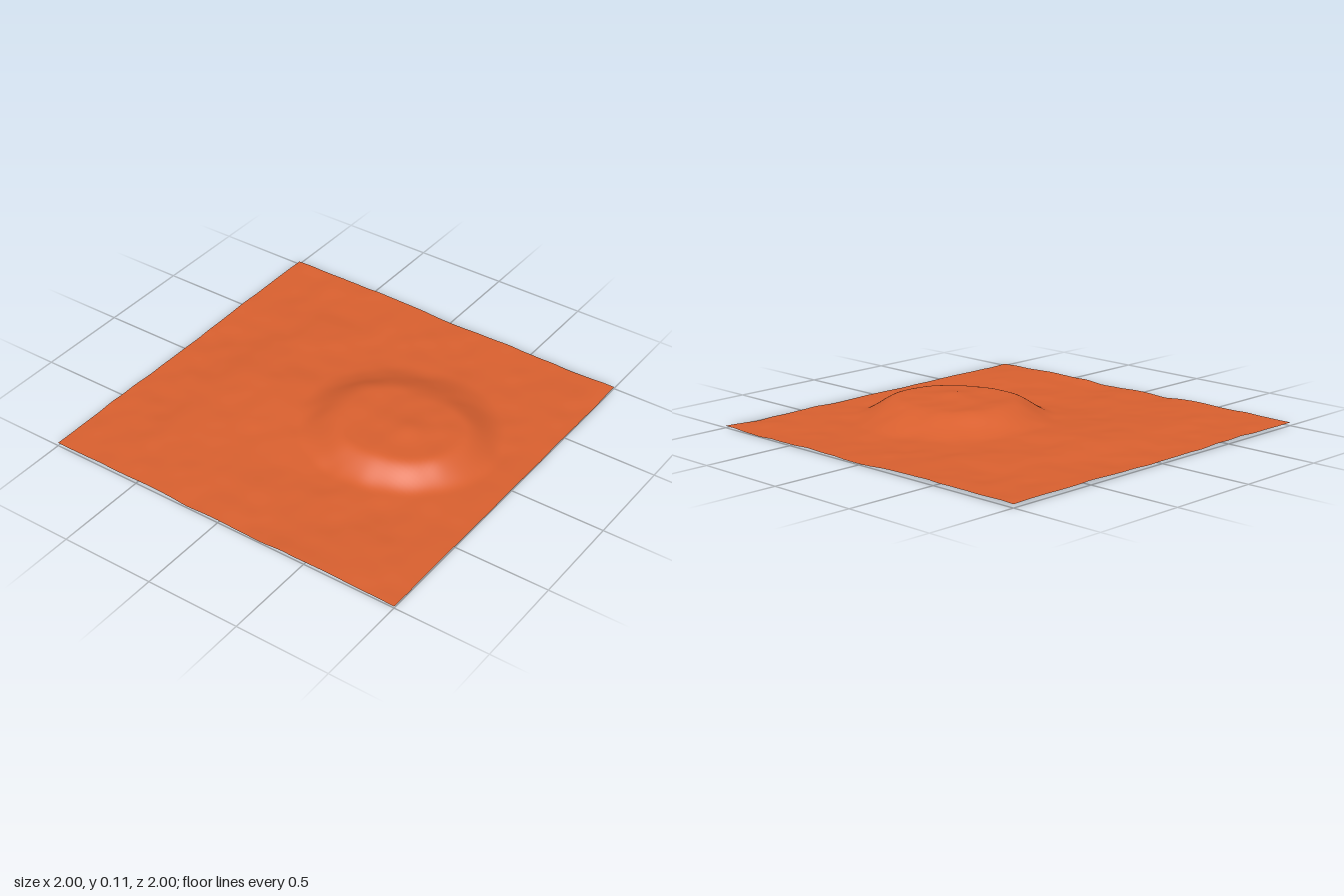
import * as THREE from 'three';

const smooth = THREE.MathUtils.smoothstep;
const mix = THREE.MathUtils.lerp;

// Repeatable value noise in the range -1 to 1
function hash(i, j) {
  const s = Math.sin(i * 127.1 + j * 311.7) * 43758.5453;
  return (s - Math.floor(s)) * 2 - 1;
}
function noise(x, z) {
  const i = Math.floor(x), j = Math.floor(z);
  const u = smooth(x - i, 0, 1), v = smooth(z - j, 0, 1);
  return mix(mix(hash(i, j), hash(i + 1, j), u), mix(hash(i, j + 1), hash(i + 1, j + 1), u), v);
}
const bump = (x, z, cx, cz, rx, rz) => Math.exp(-(((x - cx) / rx) ** 2) - ((z - cz) / rz) ** 2);

// Flat-topped mound: steep at the front and left, gentle at the right and back
function mound(x, z) {
  const dx = x - 0.06, dz = z - 0.3;
  const px = dx / (dx < 0 ? 0.49 : 0.54), pz = dz / (dz > 0 ? 0.55 : 0.53);
  const r = Math.hypot(px, pz);
  if (r >= 1) return 0;
  const wx = (px / (r || 1)) ** 2;
  const start = mix(dz > 0 ? 0.66 : 0.48, dx < 0 ? 0.62 : 0.35, wx);
  return (0.078 + 0.012 * (1 - r * r)) * (1 - smooth(r, start, 1));
}

function height(x, z) {
  const plain = 0.011 + 0.009 * smooth(-z, -0.3, 0.6) + 0.004 * smooth(-x, 0.2, 1);
  const tail = 0.016 * bump(x, z, -0.02, -0.35, 0.45, 0.4);
  const peak = 0.016 * bump(x, z, 0, 0.41, 0.08, 0.09);
  const ripples = 0.0055 * noise(x * 4 + 9, z * 5 + 4) + 0.003 * noise(x * 10 + 31, z * 11 + 17);
  return Math.max(0, plain + tail + peak + mound(x, z) + ripples);
}

export function createModel() {
  const group = new THREE.Group();
  group.name = 'terrain';

  // Square sheet of ground, raised by the height rule
  const geometry = new THREE.PlaneGeometry(2, 2, 110, 110).rotateX(-Math.PI / 2);
  const p = geometry.attributes.position;
  for (let i = 0; i < p.count; i++) p.setY(i, height(p.getX(i), p.getZ(i)));
  geometry.computeBoundingBox();
  geometry.translate(0, -geometry.boundingBox.min.y, 0);
  geometry.computeVertexNormals();

  const material = new THREE.MeshStandardMaterial({ color: 0xd9602f, side: THREE.DoubleSide });
  const ground = new THREE.Mesh(geometry, material);
  ground.name = 'ground';
  group.add(ground);
  return group;
}
